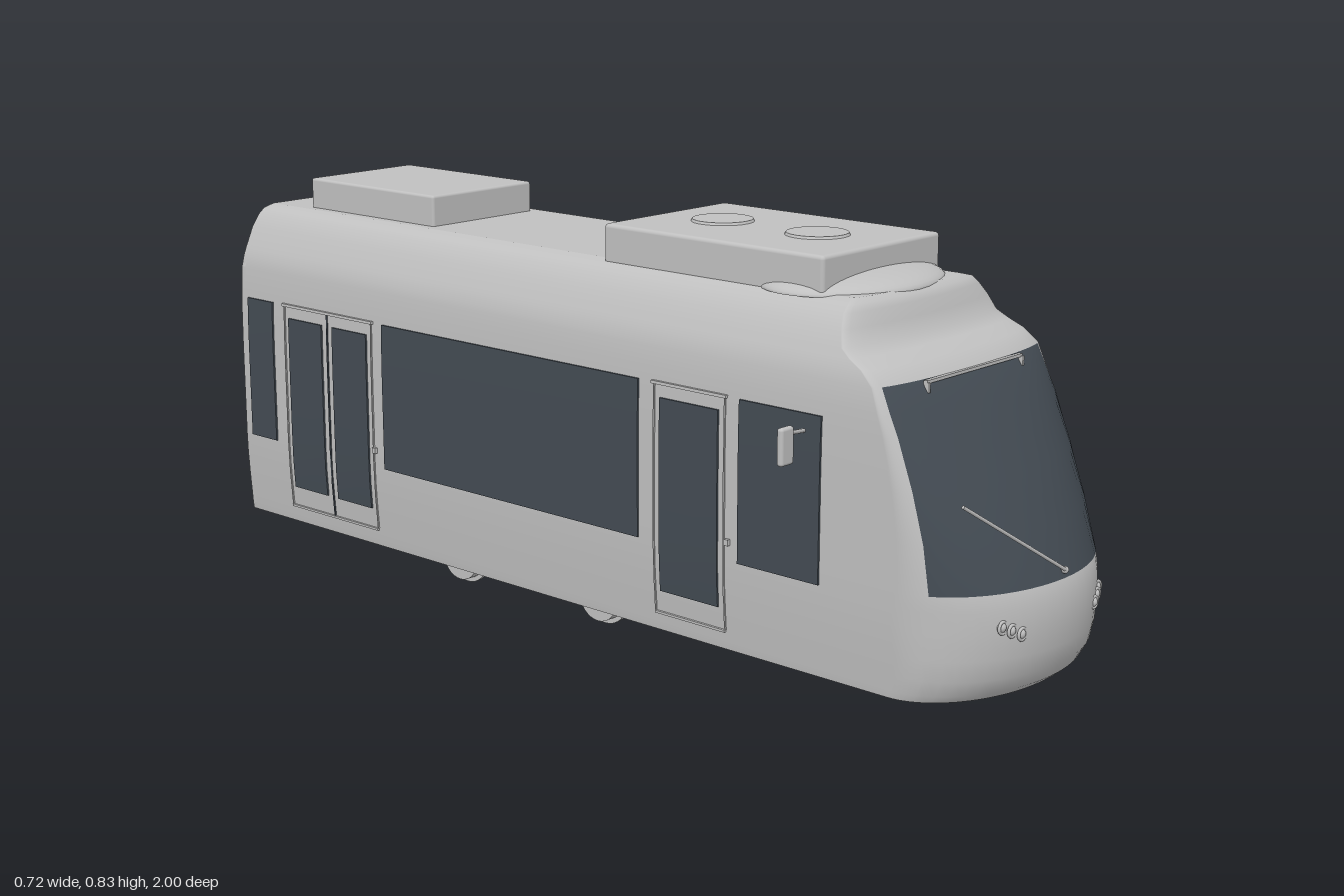
import * as THREE from 'three';
import { RoundedBoxGeometry } from 'three/addons/geometries/RoundedBoxGeometry.js';

const paint = new THREE.MeshStandardMaterial({ color: 0xc0c0c0, side: THREE.DoubleSide });
paint.name = 'light grey paint';
const glass = new THREE.MeshStandardMaterial({ color: 0x434b53, side: THREE.DoubleSide });
glass.name = 'dark glass';

// Body levels: height, half width, nose z, depth of the nose curve
const LEVELS = [
  [0.065, 0.255, 0.95, 0.16], [0.08, 0.257, 0.968, 0.17], [0.11, 0.259, 0.986, 0.18],
  [0.15, 0.262, 0.996, 0.19], [0.2, 0.265, 1.0, 0.2], [0.24, 0.266, 0.997, 0.195],
  [0.27, 0.266, 0.988, 0.18], [0.36, 0.266, 0.947, 0.14], [0.45, 0.266, 0.895, 0.1],
  [0.54, 0.265, 0.838, 0.065], [0.58, 0.263, 0.808, 0.05], [0.625, 0.26, 0.777, 0.035],
  [0.65, 0.253, 0.748, 0.035], [0.665, 0.247, 0.713, 0.03], [0.68, 0.24, 0.69, 0.03],
  [0.71, 0.226, 0.678, 0.03], [0.735, 0.208, 0.668, 0.03], [0.748, 0.192, 0.66, 0.025],
  [0.755, 0.165, 0.645, 0.02],
];

function levelAt(y) {
  let i = 0;
  while (i < LEVELS.length - 2 && LEVELS[i + 1][0] < y) i++;
  const a = LEVELS[i], b = LEVELS[i + 1];
  const t = THREE.MathUtils.clamp((y - a[0]) / (b[0] - a[0]), 0, 1);
  return a.map((v, k) => v + (b[k] - v) * t);
}

function noseZ(x, y) {
  const [, w, z, d] = levelAt(y);
  return z - d * (1 - Math.sqrt(Math.max(0, 1 - (x / w) ** 2)));
}

function add(parent, name, geometry, material, x = 0, y = 0, z = 0) {
  const mesh = new THREE.Mesh(geometry, material);
  mesh.name = name;
  mesh.position.set(x, y, z);
  parent.add(mesh);
  return mesh;
}

const box = (parent, name, material, w, h, d, x, y, z) =>
  add(parent, name, new THREE.BoxGeometry(w, h, d), material, x, y, z);

function rod(parent, name, material, from, to, r, sides = 8) {
  const a = new THREE.Vector3(...from), b = new THREE.Vector3(...to);
  const mesh = add(parent, name, new THREE.CylinderGeometry(r, r, a.distanceTo(b), sides), material);
  mesh.position.copy(a).add(b).multiplyScalar(0.5);
  mesh.quaternion.setFromUnitVectors(new THREE.Vector3(0, 1, 0), b.sub(a).normalize());
  return mesh;
}

// Body skin: stacked outlines, with the windscreen as its own material group
function bodyGeometry() {
  const edge = Math.asin(0.94), angles = [];
  for (let i = 0; i < 6; i++) angles.push(-Math.PI / 2 + (Math.PI / 2 - edge) * i / 6);
  for (let i = 0; i <= 20; i++) angles.push(-edge + 2 * edge * i / 20);
  for (let i = 1; i <= 6; i++) angles.push(edge + (Math.PI / 2 - edge) * i / 6);
  const pos = [], skin = [], screen = [], cols = angles.length + 4;
  for (const [y, w, z, d] of LEVELS) {
    pos.push(-w, y, -1, -w, y, 0.5);
    for (const a of angles) pos.push(w * Math.sin(a), y, z - d * (1 - Math.cos(a)));
    pos.push(w, y, 0.5, w, y, -1);
  }
  for (let r = 0; r < LEVELS.length - 1; r++) {
    for (let c = 0; c < cols - 1; c++) {
      const a = r * cols + c, b = a + 1, u = a + cols, v = u + 1;
      const y = LEVELS[r][0];
      const isScreen = y >= 0.27 && y < 0.62 && c >= 8 && c < 28;
      (isScreen ? screen : skin).push(a, b, u, b, v, u);
    }
  }
  const g = new THREE.BufferGeometry();
  g.setAttribute('position', new THREE.Float32BufferAttribute(pos, 3));
  g.setIndex([...skin, ...screen]);
  g.addGroup(0, skin.length, 0);
  g.addGroup(skin.length, screen.length, 1);
  g.computeVertexNormals();
  return g;
}

// Flat roof or underside closing one body level
function capGeometry([, w, z, d]) {
  const s = new THREE.Shape();
  s.moveTo(-w, 1);
  s.lineTo(w, 1);
  for (let i = 0; i <= 32; i++) {
    const a = Math.PI / 2 - Math.PI * i / 32;
    s.lineTo(w * Math.sin(a), -(z - d * (1 - Math.cos(a))));
  }
  return new THREE.ShapeGeometry(s).rotateX(-Math.PI / 2);
}

// Thin plate that follows the side wall
function wallPlate(parent, name, material, side, z0, z1, y0, y1, thick = 0.008) {
  const g = new THREE.BoxGeometry(thick, y1 - y0, z1 - z0, 1, 6, 1);
  g.translate(0, (y0 + y1) / 2, (z0 + z1) / 2);
  const p = g.attributes.position;
  for (let i = 0; i < p.count; i++) p.setX(i, p.getX(i) + side * levelAt(p.getY(i))[1]);
  g.computeVertexNormals();
  return add(parent, name, g, material);
}

// Rear end wall with a round-topped gangway opening
function rearWallGeometry() {
  const right = LEVELS.map(([y, w]) => new THREE.Vector2(w, y));
  const left = LEVELS.map(([y, w]) => new THREE.Vector2(-w, y)).reverse();
  const s = new THREE.Shape([...right, ...left]);
  const h = new THREE.Path(), x = 0.248, y0 = 0.08, y1 = 0.55, r = 0.05;
  h.moveTo(-x, y0);
  h.lineTo(-x, y1 - r);
  h.quadraticCurveTo(-x, y1, -x + r, y1);
  h.lineTo(x - r, y1);
  h.quadraticCurveTo(x, y1, x, y1 - r);
  h.lineTo(x, y0);
  s.holes.push(h);
  return new THREE.ExtrudeGeometry(s, { depth: 0.012, bevelEnabled: false });
}

export function createModel() {
  const tram = new THREE.Group();
  tram.name = 'tram';

  add(tram, 'body', bodyGeometry(), [paint, glass]);
  add(tram, 'underside', capGeometry(LEVELS[0]), paint, 0, LEVELS[0][0], 0);
  add(tram, 'roof', capGeometry(LEVELS.at(-1)), paint, 0, LEVELS.at(-1)[0], 0);
  add(tram, 'rearWall', rearWallGeometry(), paint, 0, 0, -1);

  // Roof equipment
  add(tram, 'frontRoofBox', new RoundedBoxGeometry(0.36, 0.08, 0.54, 3, 0.008), paint, 0, 0.785, 0.3);
  add(tram, 'rearRoofBox', new RoundedBoxGeometry(0.29, 0.07, 0.395, 3, 0.006), paint, 0, 0.785, -0.6925);
  for (const z of [0.18, 0.415])
    add(tram, 'roofFan', new THREE.CylinderGeometry(0.06, 0.063, 0.006, 32), paint, 0, 0.827, z);
  const fairing = new THREE.SphereGeometry(1, 40, 12, 0, Math.PI * 2, 0, Math.PI / 2);
  add(tram, 'roofFairing', fairing, paint, 0, 0.75, 0.5).scale.set(0.205, 0.036, 0.155);

  // Side windows, doors and mirrors
  for (const s of [-1, 1]) {
    for (const [z0, z1] of [[0.45, 0.64], [-0.53, 0.2], [-0.975, -0.89]])
      wallPlate(tram, 'sideWindow', glass, s, z0, z1, 0.245, 0.558);
    for (const [z0, z1] of [[0.255, 0.4], [-0.69, -0.58], [-0.835, -0.725]])
      wallPlate(tram, 'doorWindow', glass, s, z0, z1, 0.148, 0.53);
    for (const [z0, z1] of [[0.24, 0.415], [-0.85, -0.565]]) {
      wallPlate(tram, 'doorTopRail', paint, s, z0 - 0.005, z1 + 0.005, 0.555, 0.561, 0.012);
      wallPlate(tram, 'doorSill', paint, s, z0, z1, 0.1, 0.105, 0.01);
      for (const z of [z0, z1])
        wallPlate(tram, 'doorEdge', paint, s, z - 0.0015, z + 0.0015, 0.105, 0.555, 0.006);
    }
    wallPlate(tram, 'doorSeam', glass, s, -0.71, -0.706, 0.105, 0.555, 0.005);
    for (const z of [0.425, -0.56])
      wallPlate(tram, 'doorButton', paint, s, z - 0.005, z + 0.005, 0.275, 0.287, 0.014);

    rod(tram, 'mirrorArm', paint, [s * 0.262, 0.525, 0.6], [s * 0.335, 0.537, 0.62], 0.004);
    add(tram, 'mirror', new RoundedBoxGeometry(0.036, 0.07, 0.014, 3, 0.006), paint, s * 0.343, 0.515, 0.62);

    // Headlight cluster
    for (const [x, y] of [[0.118, 0.193], [0.138, 0.202], [0.155, 0.21]]) {
      const z = noseZ(x, y);
      add(tram, 'headlight', new THREE.SphereGeometry(0.01, 16, 10), paint, s * x, y, z - 0.004);
      add(tram, 'headlightRing', new THREE.TorusGeometry(0.011, 0.003, 8, 20), paint, s * x, y, z);
    }
  }

  // Windscreen wiper and sign frame
  rod(tram, 'wiperArm', paint, [0, 0.285, 0.99], [-0.25, 0.445, 0.935], 0.0035);
  add(tram, 'wiperPivot', new THREE.SphereGeometry(0.007, 12, 8), paint, 0, 0.285, 0.987);
  box(tram, 'signBar', paint, 0.3, 0.006, 0.008, 0, 0.622, 0.779);
  for (const x of [-0.148, 0.148])
    box(tram, 'signBracket', paint, 0.005, 0.018, 0.012, x, 0.612, noseZ(x, 0.612) + 0.002);

  // Bogie
  const bogie = new THREE.Group();
  bogie.name = 'bogie';
  tram.add(bogie);
  for (const z of [0.013, -0.392]) {
    rod(bogie, 'axle', paint, [-0.2, 0.062, z], [0.2, 0.062, z], 0.008, 12);
    for (const s of [-1, 1]) {
      rod(bogie, 'wheel', paint, [s * 0.16, 0.062, z], [s * 0.185, 0.062, z], 0.052, 32);
      rod(bogie, 'wheelFlange', paint, [s * 0.155, 0.062, z], [s * 0.163, 0.062, z], 0.062, 32);
      rod(bogie, 'brakeDisc', paint, [s * 0.103, 0.062, z], [s * 0.112, 0.062, z], 0.033, 24);
    }
  }
  for (const z of [-0.09, -0.318])
    rod(bogie, 'motor', paint, [-0.095, 0.068, z], [0.068, 0.068, z], 0.026, 20);

  // Interior
  const cabin = new THREE.Group();
  cabin.name = 'interior';
  tram.add(cabin);
  box(cabin, 'floor', paint, 0.5, 0.01, 1.7, 0, 0.075, -0.14);
  box(cabin, 'ceiling', paint, 0.51, 0.01, 1.6, 0, 0.568, -0.19);
  box(cabin, 'cabPartition', paint, 0.5, 0.48, 0.01, 0, 0.32, 0.43);
  for (const s of [-1, 1]) {
    rod(cabin, 'handrail', paint, [s * 0.13, 0.5, -0.85], [s * 0.13, 0.5, 0.4], 0.004);
    for (const z of [-0.85, -0.55, -0.15, 0.22])
      rod(cabin, 'pole', paint, [s * 0.13, 0.08, z], [s * 0.13, 0.565, z], 0.004);
    for (const z of [-0.42, -0.2, 0.02]) {
      box(cabin, 'seatCushion', paint, 0.11, 0.025, 0.1, s * 0.195, 0.19, z);
      box(cabin, 'seatBack', paint, 0.11, 0.14, 0.018, s * 0.195, 0.26, z - 0.05);
      box(cabin, 'seatBase', paint, 0.07, 0.1, 0.05, s * 0.21, 0.13, z);
    }
  }
  return tram;
}
